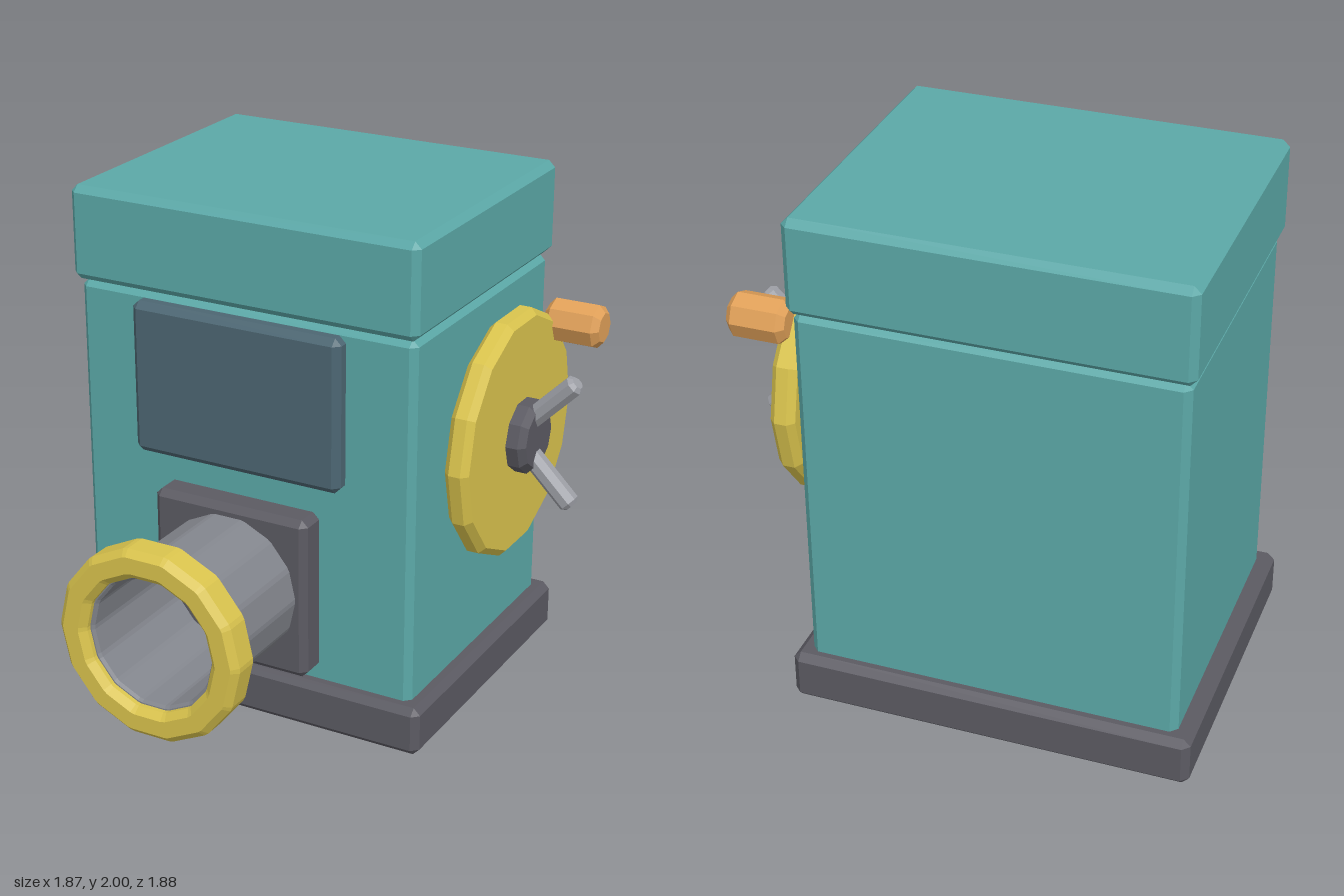
import * as THREE from 'three';
import { ConvexGeometry } from 'three/addons/geometries/ConvexGeometry.js';

const paint = (color) => new THREE.MeshStandardMaterial({ color, flatShading: true });

// Box with chamfered edges, given by its min and max corners
function chamferBox(min, max, c) {
  const half = min.map((v, i) => (max[i] - v) / 2);
  const mid = min.map((v, i) => (max[i] + v) / 2);
  const points = [];
  for (const sx of [-1, 1]) for (const sy of [-1, 1]) for (const sz of [-1, 1]) {
    for (let full = 0; full < 3; full++) {
      const p = [sx, sy, sz].map((s, i) => mid[i] + s * (half[i] - (i === full ? 0 : c)));
      points.push(new THREE.Vector3(...p));
    }
  }
  return new ConvexGeometry(points);
}

// Regular polygon whose corners are cut slightly
function polygon(radius, sides, cut, Type, turn = 0) {
  const corner = (i) => {
    const a = turn + (i / sides) * Math.PI * 2;
    return new THREE.Vector2(radius * Math.cos(a), radius * Math.sin(a));
  };
  const points = [];
  for (let i = 0; i < sides; i++) {
    const p = corner(i);
    if (cut === 0) points.push(p);
    else points.push(p.clone().lerp(corner(i - 1), cut), p.clone().lerp(corner(i + 1), cut));
  }
  return new Type(points);
}

// Faceted disc or ring along z from 0 to depth, with bevelled rims
function facetedDisc({ radius, inner = 0, sides, depth, bevel, cut = 0, turn = 0 }) {
  const shape = polygon(radius, sides, cut, THREE.Shape, turn);
  if (inner) shape.holes.push(polygon(inner, sides, cut, THREE.Path, turn));
  const geometry = new THREE.ExtrudeGeometry(shape, {
    depth: depth - 2 * bevel,
    bevelEnabled: true,
    bevelThickness: bevel,
    bevelSize: bevel,
    bevelOffset: -bevel,
    bevelSegments: 1,
  });
  return geometry.translate(0, 0, bevel);
}

export function createModel() {
  const model = new THREE.Group();
  const teal = paint(0x5ba8a7);
  const dark = paint(0x5b5a62);
  const slate = paint(0x4c6672);
  const yellow = paint(0xd9c34d);
  const steel = paint(0x83868d);
  const lightSteel = paint(0x9c9ea5);
  const orange = paint(0xe0a058);

  const add = (name, geometry, material, parent = model) => {
    const mesh = new THREE.Mesh(geometry, material);
    mesh.name = name;
    parent.add(mesh);
    return mesh;
  };

  // Cabinet
  add('base', chamferBox([-0.93, 0.002, -0.94], [0.6, 0.2, 0.305], 0.027), dark);
  add('body', chamferBox([-0.87, 0, -0.89], [0.54, 1.632, 0.25], 0.026), teal);
  add('lid', chamferBox([-0.89, 1.635, -0.915], [0.555, 2, 0.275], 0.026), teal);
  add('frontPanel', chamferBox([-0.605, 1.01, 0.235], [0.27, 1.61, 0.32], 0.026), slate);

  // Spout: mounting plate, hollow pipe and rim
  const spout = new THREE.Group();
  spout.name = 'spout';
  spout.position.set(-0.168, 0.57, 0);
  model.add(spout);
  add('spoutPlate', chamferBox([-0.327, -0.325, 0.23], [0.327, 0.325, 0.365], 0.026), dark, spout);
  add('spoutPipe', facetedDisc({
    radius: 0.288, inner: 0.25, sides: 14, depth: 0.56, bevel: 0.01, cut: 0.08,
  }), steel, spout).position.z = 0.34;
  add('spoutRim', facetedDisc({
    radius: 0.38, inner: 0.265, sides: 14, depth: 0.14, bevel: 0.025, cut: 0.06,
  }), yellow, spout).position.z = 0.803;

  // Crank wheel on the side, its local z axis pointing outwards along +x
  const crank = new THREE.Group();
  crank.name = 'crank';
  crank.position.set(0, 1.11, -0.32);
  crank.rotation.y = Math.PI / 2;
  model.add(crank);
  add('crankWheel', facetedDisc({ radius: 0.478, sides: 14, depth: 0.096, bevel: 0.025 }),
    yellow, crank).position.z = 0.607;
  add('crankHub', facetedDisc({ radius: 0.142, sides: 10, depth: 0.185, bevel: 0.025 }),
    dark, crank).position.z = 0.59;
  const knob = add('crankKnob', facetedDisc({
    radius: 0.086, sides: 8, depth: 0.225, bevel: 0.025,
  }), orange, crank);
  knob.position.set(0.34, 0.345, 0.655);

  // Two crossed rods through the hub
  for (const side of [-1, 1]) {
    const rod = add('crankRod', facetedDisc({
      radius: 0.041, sides: 8, depth: 0.7, bevel: 0.015, turn: Math.PI / 8,
    }).translate(0, 0, -0.35), lightSteel, crank);
    rod.position.z = 0.672;
    rod.rotation.x = side * Math.PI / 4;
  }

  return model;
}
